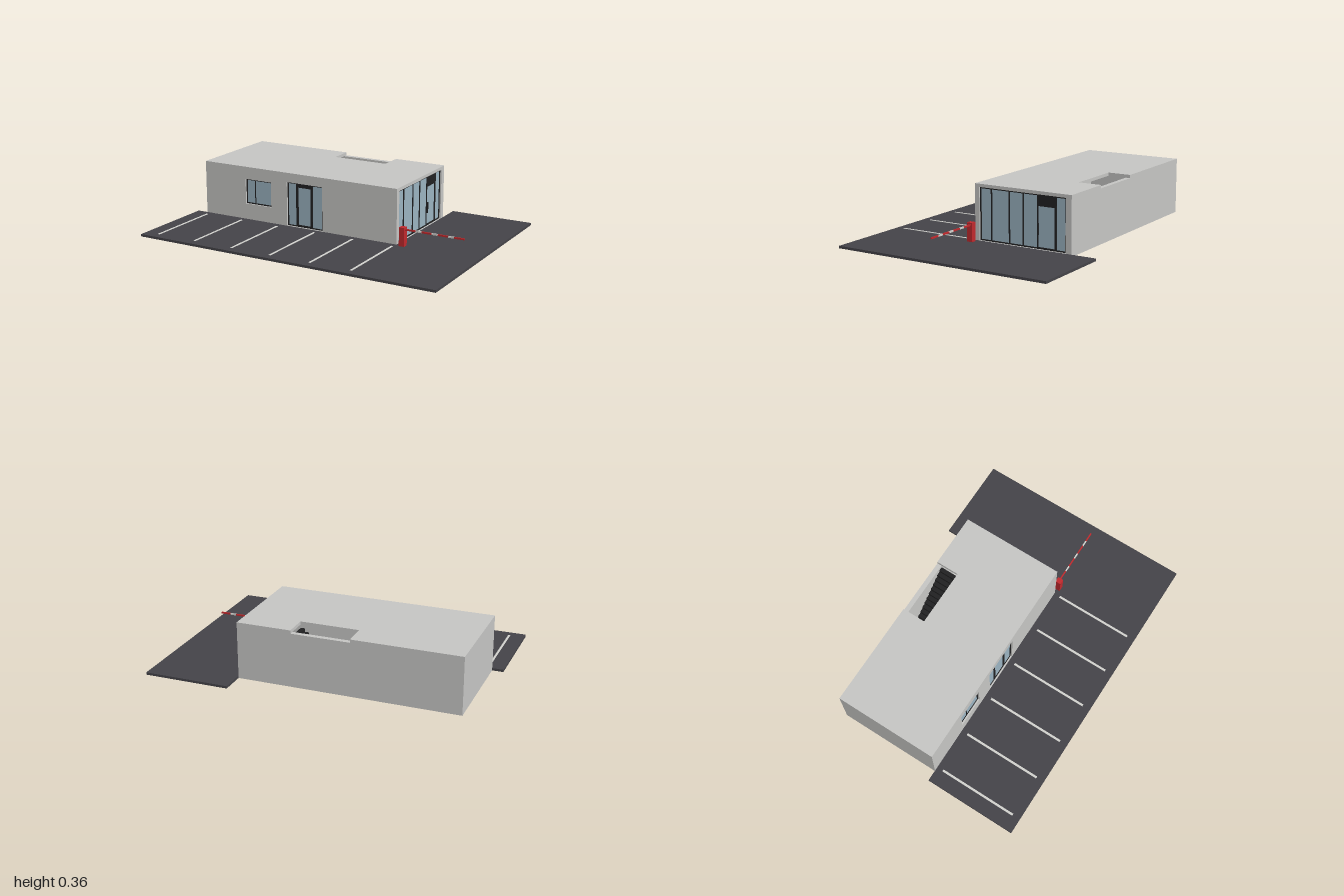
import * as THREE from 'three';

const mat = (name, color) => {
  const m = new THREE.MeshStandardMaterial({ color });
  m.name = name;
  return m;
};

export function createModel() {
  const concrete = mat('concrete', 0xc5c5c3);
  const asphalt = mat('asphalt', 0x444348);
  const black = mat('black metal', 0x212122);
  const glass = mat('glass', 0x9ab2c0);
  const red = mat('barrier red', 0xc0292d);
  const white = mat('marking white', 0xd0d0cc);

  const model = new THREE.Group();
  model.name = 'parkingBuilding';

  // Box given by its limits on each axis
  const box = (name, m, x0, x1, y0, y1, z0, z1, parent = model) => {
    const mesh = new THREE.Mesh(new THREE.BoxGeometry(x1 - x0, y1 - y0, z1 - z0), m);
    mesh.position.set((x0 + x1) / 2, (y0 + y1) / 2, (z0 + z1) / 2);
    mesh.name = name;
    parent.add(mesh);
    return mesh;
  };

  // Horizontal slab from an outline of [x, z] points
  const slab = (name, m, points, y0, y1) => {
    const shape = new THREE.Shape(points.map(([x, z]) => new THREE.Vector2(x, -z)));
    const geo = new THREE.ExtrudeGeometry(shape, { depth: y1 - y0, bevelEnabled: false });
    geo.rotateX(-Math.PI / 2);
    const mesh = new THREE.Mesh(geo, m);
    mesh.position.y = y0;
    mesh.name = name;
    model.add(mesh);
  };

  const rect = (path, [u0, u1, v0, v1]) =>
    path.moveTo(u0, v0).lineTo(u1, v0).lineTo(u1, v1).lineTo(u0, v1).closePath();

  // Upright wall with rectangular openings, facing +z
  const wall = (name, limits, openings, thickness) => {
    const shape = new THREE.Shape();
    rect(shape, limits);
    for (const o of openings) {
      const hole = new THREE.Path();
      rect(hole, o);
      shape.holes.push(hole);
    }
    const geo = new THREE.ExtrudeGeometry(shape, { depth: thickness, bevelEnabled: false });
    const mesh = new THREE.Mesh(geo, concrete);
    mesh.name = name;
    model.add(mesh);
    return mesh;
  };

  // Framed glazing facing +z: bars are [centre, width], panel is a black header
  const glazing = (name, [u0, u1, v0, v1], bars, panel, frame) => {
    const g = new THREE.Group();
    g.name = name;
    const d = 0.006;
    box('pane', glass, u0, u1, v0, v1, -0.002, 0.002, g);
    box('frameSideA', black, u0, u0 + frame, v0, v1, -d, d, g);
    box('frameSideB', black, u1 - frame, u1, v0, v1, -d, d, g);
    box('frameBottom', black, u0, u1, v0, v0 + frame, -d, d, g);
    box('frameTop', black, u0, u1, v1 - frame, v1, -d, d, g);
    for (const [u, w] of bars) box('mullion', black, u - w / 2, u + w / 2, v0, v1, -d, d, g);
    if (panel) {
      const [p0, p1, pv, sill] = panel;
      box('doorHeader', black, p0, p1, pv, v1, -d, d, g);
      box('doorSill', black, p0, p1, v0, sill, -d, d, g);
    }
    model.add(g);
    return g;
  };

  // L-shaped car park and its bay lines
  slab('carPark', asphalt,
    [[-1, 0.705], [1, 0.705], [1, -0.71], [0.46, -0.71], [0.46, 0.11], [-1, 0.11]], 0, 0.015);
  for (let i = 0; i < 6; i++) {
    const x = -0.903 + i * 0.271;
    box('bayLine', white, x - 0.007, x + 0.007, 0.014, 0.017, 0.15, 0.655);
  }

  // Building shell
  const [L, R, B, F, H] = [-0.93, 0.46, -0.55, 0.11, 0.34];
  const windowArea = [-0.622, -0.43, 0.118, 0.28];
  const doorArea = [-0.312, -0.055, 0.017, 0.3];
  const curtainArea = [-0.08, 0.512, 0.016, 0.34];
  box('floor', concrete, L, R, 0, 0.015, B, F);
  wall('frontWall', [L, R, 0, H], [windowArea, doorArea], 0.03).position.z = F - 0.03;
  box('backWall', concrete, L, R, 0, H, B, B + 0.03);
  box('leftEndWall', concrete, L, L + 0.03, 0, H, B, F);
  box('curtainPierFront', concrete, R - 0.03, R, 0, H, 0.08, F);
  box('curtainPierBack', concrete, R - 0.03, R, 0, H, B, -0.512);

  // Roof slab, notched at the stair opening
  slab('roof', concrete, [[L, F], [R, F], [R, B], [0.115, B], [0.115, -0.4],
    [-0.255, -0.4], [-0.255, B], [L, B]], H, 0.36);

  // Window, entrance and glazed end
  glazing('window', windowArea, [[-0.555, 0.005]], null, 0.007).position.z = 0.094;
  glazing('entrance', doorArea, [[-0.242, 0.016], [-0.138, 0.016]],
    [-0.25, -0.13, 0.272, 0.03], 0.007).position.z = 0.094;
  const curtain = glazing('glazedEnd', curtainArea,
    [[0, 0.008], [0.125, 0.008], [0.22, 0.008], [0.32, 0.008], [0.44, 0.014]],
    [0.32, 0.446, 0.27, 0.027], 0.008);
  curtain.rotation.y = Math.PI / 2;
  curtain.position.x = 0.445;
  box('doorHandle', black, 0.322, 0.328, 0.1, 0.17, 0.006, 0.014, curtain);

  // Stair climbing to the roof
  const steps = 14, run = 0.365 / steps, rise = 0.305 / steps;
  for (let i = 0; i < steps; i++) {
    const x = -0.252 + i * run, y = 0.015 + (i + 1) * rise;
    box('stairStep', black, x, x + run, y - rise, y, -0.519, -0.4);
  }

  // Barrier post and striped boom
  box('barrierPost', red, 0.485, 0.52, 0.015, 0.132, 0.092, 0.129);
  const pivot = new THREE.Mesh(new THREE.CylinderGeometry(0.008, 0.008, 0.006, 16), red);
  pivot.rotation.z = Math.PI / 2;
  pivot.position.set(0.522, 0.117, 0.108);
  pivot.name = 'boomPivot';
  model.add(pivot);
  let x = 0.52;
  for (let i = 0; i < 7; i++) {
    const w = i % 2 ? 0.04 : 0.065;
    box('boomStripe', i % 2 ? white : red, x, x + w, 0.112, 0.122, 0.104, 0.112);
    x += w;
  }

  return model;
}
